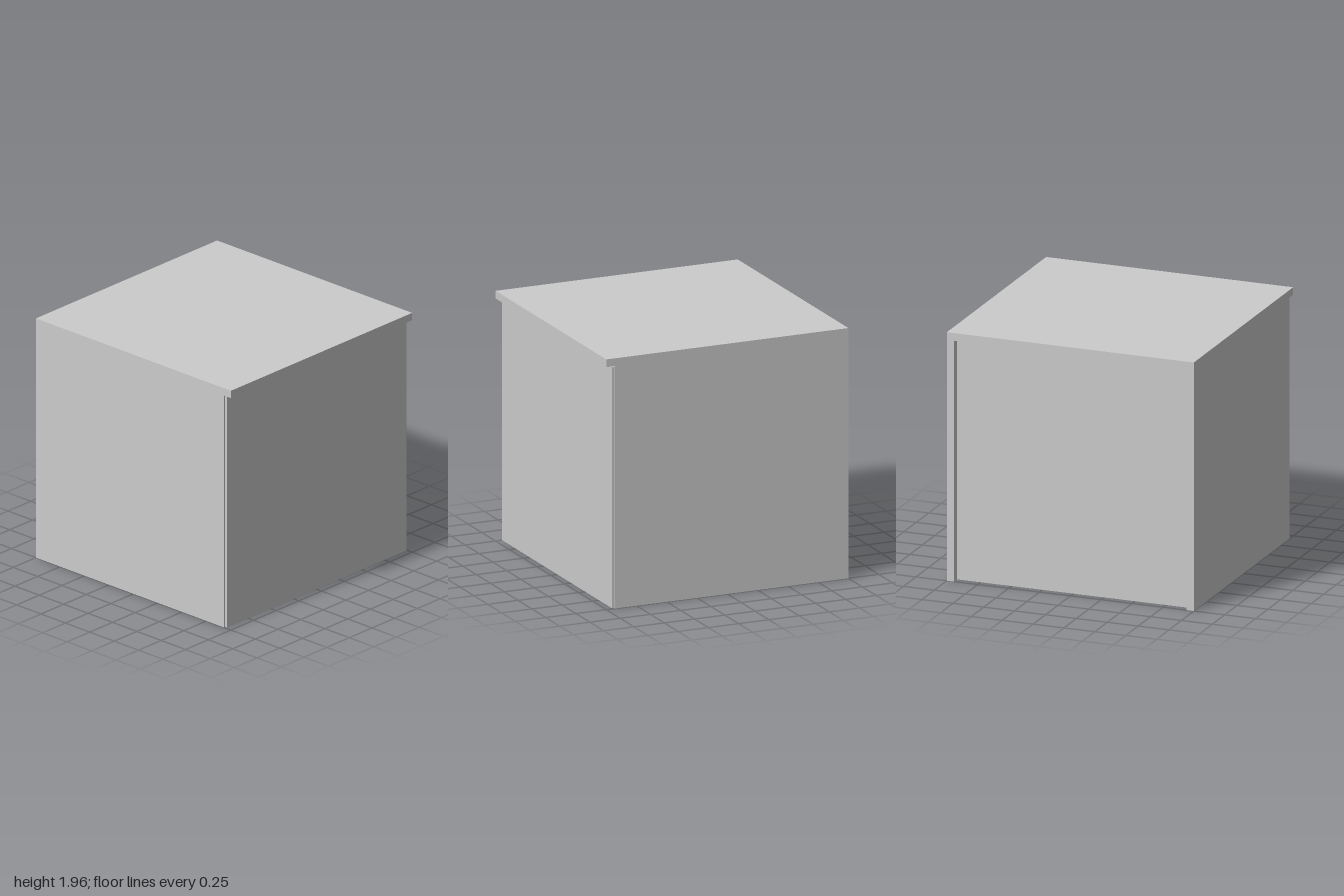
import * as THREE from 'three';

export function createModel() {
  const model = new THREE.Group();
  const material = new THREE.MeshStandardMaterial({ color: 0xcccccc });

  // Box panel given by its extents along each axis
  function panel(name, [x0, x1], [y0, y1], [z0, z1]) {
    const mesh = new THREE.Mesh(new THREE.BoxGeometry(x1 - x0, y1 - y0, z1 - z0), material);
    mesh.position.set((x0 + x1) / 2, (y0 + y1) / 2, (z0 + z1) / 2);
    mesh.name = name;
    model.add(mesh);
  }

  const T = 0.06;         // board thickness
  const inner = 1 - T;    // inner face of the side walls
  const front = 0.93;     // front edge of the carcass
  const underTop = 1.9;   // underside of the worktop
  const back = -0.94;     // rear face of the recessed back panel

  // Overhanging worktop
  panel('worktop', [-1, 1], [underTop, underTop + T], [-1, 1]);

  // Side walls, running past the back panel
  panel('leftSide', [inner, 1], [0, underTop], [-1, front]);
  panel('rightSide', [-1, -inner], [0, underTop], [-1, front]);

  // Floor and recessed back
  panel('floor', [-inner, inner], [0, T], [back, front]);
  panel('backPanel', [-inner, inner], [T, underTop], [back, back + 0.02]);

  // Door with a narrow reveal at the sides and below the worktop
  panel('door', [-0.992, 0.992], [0.003, 1.89], [front, 0.95]);

  return model;
}
